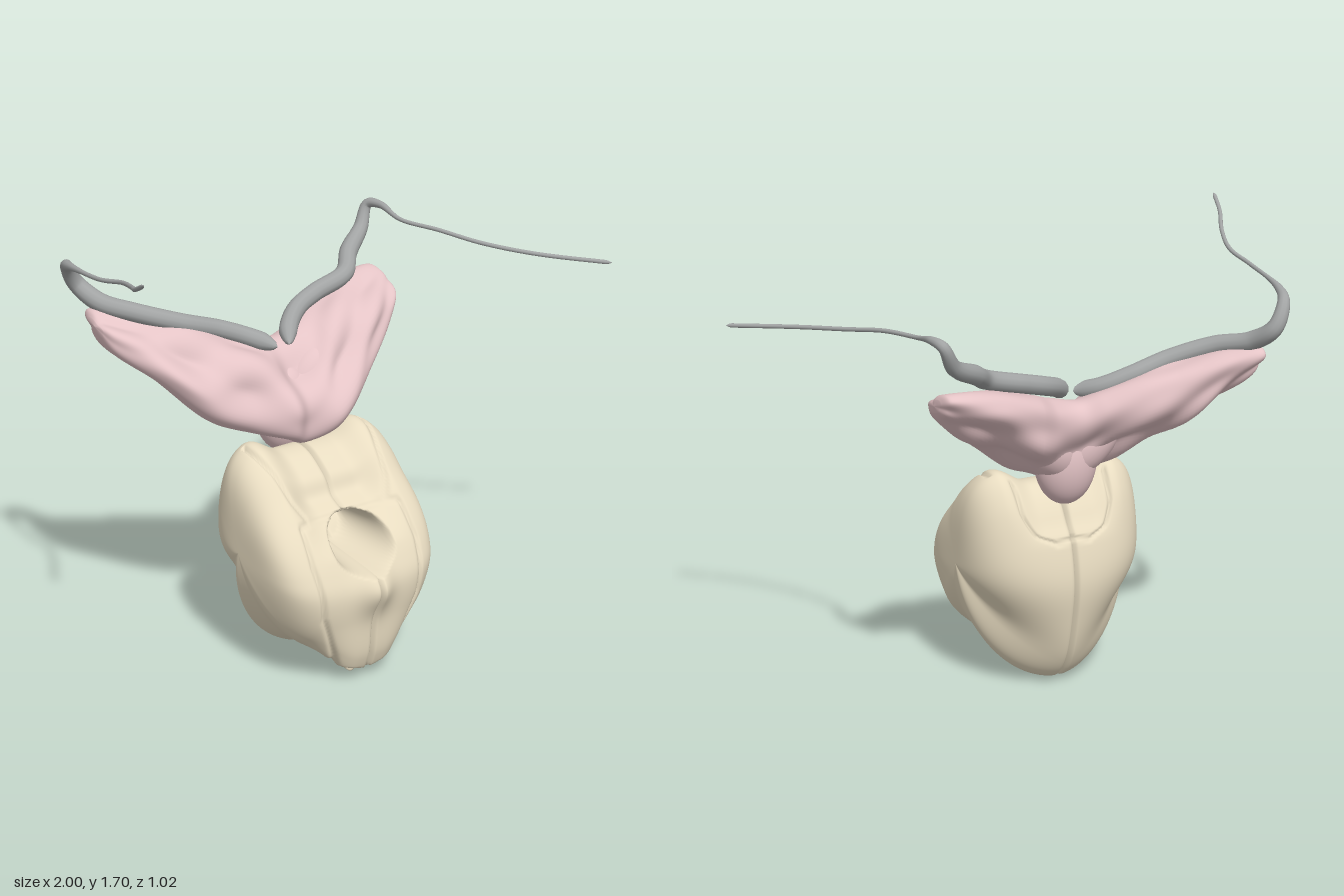
import * as THREE from 'three';

const SHELL = 0xe8dcc1, MEMBRANE = 0xe4c4c6, CORD = 0xa2a4a4;
const smooth = THREE.MathUtils.smoothstep, lerp = THREE.MathUtils.lerp;
const V = (x, y, z) => new THREE.Vector3(x, y, z);

function mesh(name, geometry, color) {
  const m = new THREE.Mesh(geometry, new THREE.MeshStandardMaterial({ color }));
  m.name = name;
  return m;
}

// Skin of nu+1 closed rings with nv points each; faces always turned outward
function loft(nu, nv, fn) {
  const pos = [], idx = [];
  for (let i = 0; i <= nu; i++)
    for (let j = 0; j < nv; j++) pos.push(...fn(i / nu, j / nv));
  for (let i = 0; i < nu; i++)
    for (let j = 0; j < nv; j++) {
      const a = i * nv + j, b = i * nv + (j + 1) % nv;
      idx.push(a, b, a + nv, b, b + nv, a + nv);
    }
  const at = (i) => V(pos[3 * i], pos[3 * i + 1], pos[3 * i + 2]);
  let volume = 0;
  for (let i = 0; i < idx.length; i += 3)
    volume += at(idx[i]).dot(at(idx[i + 1]).cross(at(idx[i + 2])));
  if (volume < 0) idx.reverse();
  const g = new THREE.BufferGeometry();
  g.setAttribute('position', new THREE.Float32BufferAttribute(pos, 3));
  g.setIndex(idx);
  g.computeVertexNormals();
  return g;
}

// Distance from a point to a polyline
function lineDistance(px, py, line) {
  let best = 9;
  for (let i = 0; i + 1 < line.length; i++) {
    const [ax, ay] = line[i], [bx, by] = line[i + 1];
    const dx = bx - ax, dy = by - ay;
    const t = THREE.MathUtils.clamp(((px - ax) * dx + (py - ay) * dy) / (dx * dx + dy * dy), 0, 1);
    best = Math.min(best, Math.hypot(px - ax - t * dx, py - ay - t * dy));
  }
  return best;
}

// Side outlines of the capsule as [z, y]: notched in the middle, plain at the flank
const upper = [
  [0.455, 0.25], [0.46, 0.38], [0.43, 0.46], [0.36, 0.57], [0.25, 0.7],
  [0.15, 0.8], [0.05, 0.86], [-0.03, 0.86], [-0.12, 0.77], [-0.18, 0.62], [-0.215, 0.45],
  [-0.2, 0.3], [-0.15, 0.12], [-0.08, 0.03], [0, 0],
];
const closedCurve = (pts) => new THREE.CatmullRomCurve3(pts.map(([z, y]) => V(0, y, z)), true);
const notched = closedCurve([[0.1, 0.03], [0.2, 0.09], [0.29, 0.12], [0.345, 0.08], [0.4, 0.03], [0.44, 0.1], ...upper]);
const plain = closedCurve([[0.1, 0.02], [0.2, 0.05], [0.28, 0.08], [0.34, 0.105], [0.39, 0.135], [0.43, 0.18], ...upper]);

// Grooves between plates as [distance from the middle, y]
const topGroove = [[0.27, 0.86], [0.23, 0.78], [0.21, 0.7], [0.17, 0.63], [0, 0.62]];
const frontGroove = [[0.17, 0.63], [0.22, 0.62], [0.23, 0.5], [0.21, 0.3], [0.12, 0.06], [0.02, 0.03]];
const backGroove = [[0, 0.62], [0.07, 0.61], [0.14, 0.66], [0.18, 0.74], [0.19, 0.86]];

// One half of the capsule: the outline shrinks toward the flank, squarer in front than behind
function capsuleHalf(side) {
  const NV = 252, C = V(0, 0.48, 0.1), W = 0.352;
  const inner = notched.getPoints(NV), outer = plain.getPoints(NV);
  return loft(72, NV, (u, v) => {
    const n = Math.round(v * NV);
    const q = Math.sin(u * Math.PI / 2), s = q * W;
    const o = inner[n].clone().lerp(outer[n], smooth(q, 0.15, 0.65));
    const power = lerp(1.9, 4.2, smooth(o.y, 0.1, 0.7))
      * lerp(0.72, 1, smooth(o.z, -0.2, 0)) * lerp(1, 1.35, smooth(o.z, 0.2, 0.4));
    let k = Math.pow(Math.max(0, 1 - Math.pow(q, power)), 1 / power);
    k *= 1 - 0.06 * Math.exp(-((s / 0.007) ** 2));
    let y = C.y + (o.y - C.y) * k, z = C.z + (o.z - C.z) * k;
    let d = 1;
    if (z > 0) d = lineDistance(s, y, topGroove);
    if (z > 0.25) d = Math.min(d, lineDistance(s, y, frontGroove));
    if (z < -0.05) d = lineDistance(s, y, backGroove);
    const dent = 1 - 0.04 * Math.exp(-((d / 0.008) ** 2));
    y = C.y + (y - C.y) * dent;
    z = C.z + (z - C.z) * dent;
    // saddle on top, keel in front, round opening
    const hole = Math.hypot(s / 0.125, (y - 0.53) / 0.095);
    const front = smooth(z, 0.2, 0.3);
    const middle = 1 - smooth(s, 0.1, 0.24);
    z -= 0.04 * middle * smooth(z, 0.15, 0.25) * smooth(y, 0.5, 0.62);
    y -= 0.07 * middle * smooth(y, 0.58, 0.76);
    z += front * 0.055 * Math.exp(-((s / 0.07) ** 2) - ((y - 0.39) / 0.09) ** 2);
    z -= front * 0.27 * (1 - smooth(hole, 0.65, 1.06));
    return [side * s, y, z];
  });
}

// Winged membrane, lofted along x: [x, low y, high y, front z, back z]
function membrane() {
  const rows = [
    [-0.745, 1.27, 1.3, -0.31, -0.39], [-0.72, 1.2, 1.33, -0.24, -0.45],
    [-0.6, 1.09, 1.31, -0.1, -0.43], [-0.45, 0.94, 1.27, 0, -0.39],
    [-0.3, 0.87, 1.23, 0.04, -0.35], [-0.17, 0.83, 1.18, 0.1, -0.3],
    [-0.09, 0.79, 1.15, 0.06, -0.27], [0.02, 0.82, 1.17, 0.09, -0.3],
    [0.1, 0.86, 1.21, 0.07, -0.34], [0.25, 0.98, 1.26, -0.01, -0.37],
    [0.4, 1.09, 1.285, -0.11, -0.385], [0.48, 1.17, 1.285, -0.18, -0.37],
    [0.502, 1.21, 1.255, -0.24, -0.31],
  ];
  const low = new THREE.CatmullRomCurve3(rows.map((r) => V(r[0], r[1], r[3])));
  const high = new THREE.CatmullRomCurve3(rows.map((r) => V(r[0], r[2], r[4])));
  return loft(120, 72, (u, v) => {
    const a = v * Math.PI * 2, l = low.getPoint(u), h = high.getPoint(u);
    const pinch = Math.min(1, Math.sqrt(Math.min(u, 1 - u) * 60));
    const face = Math.cos(a - 0.5) ** 2; // folds lie on the broad faces, the rim stays even
    const fold = 1 - face * (0.15 + 0.15 * Math.sin(11 * l.x + 3 * a) + 0.1 * Math.sin(19 * l.x - 5 * a));
    const ry = (h.y - l.y) / 2 * pinch * fold, rz = (l.z - h.z) / 2 * pinch * fold;
    return [l.x, (l.y + h.y) / 2 + ry * Math.sin(a),
      (l.z + h.z) / 2 + rz * (0.87 * Math.cos(a) - 0.5 * Math.sin(a))];
  });
}

// Cord: a tube that thins from a thick root to a thread
function cord(points, bend) {
  const N = 160, R = 12;
  const curve = new THREE.CatmullRomCurve3(points.map((p) => V(...p)));
  const g = new THREE.TubeGeometry(curve, N, 1, R);
  const p = g.attributes.position, q = V(0, 0, 0);
  for (let i = 0; i <= N; i++) {
    const t = i / N, c = curve.getPointAt(t);
    const r = lerp(0.035, 0.008, smooth(t, bend - 0.15, bend + 0.1))
      * Math.sqrt(Math.min(1, t * 30, (1 - t) * 80));
    for (let j = 0; j <= R; j++) {
      const n = i * (R + 1) + j;
      q.fromBufferAttribute(p, n).sub(c).multiplyScalar(r).add(c);
      p.setXYZ(n, q.x, q.y, q.z);
    }
  }
  return g;
}

export function createModel() {
  const model = new THREE.Group();
  model.name = 'model';

  const capsule = new THREE.Group();
  capsule.name = 'capsule';
  capsule.position.x = -0.09;
  capsule.add(mesh('leftShell', capsuleHalf(1), SHELL), mesh('rightShell', capsuleHalf(-1), SHELL));
  model.add(capsule);

  model.add(mesh('wingedMembrane', membrane(), MEMBRANE));

  // Lobes joining the membrane to the capsule: [x, y, z, width, height, depth, lean]
  const neck = new THREE.Group();
  neck.name = 'membraneNeck';
  for (const [x, y, z, w, h, d, lean] of [
    [-0.09, 0.9, -0.11, 0.12, 0.17, 0.1, 0], [-0.18, 0.98, -0.12, 0.1, 0.17, 0.1, 0.7],
    [0, 0.98, -0.12, 0.1, 0.17, 0.1, -0.7],
  ]) {
    const lobe = mesh('neckLobe', new THREE.SphereGeometry(1, 32, 24), MEMBRANE);
    lobe.scale.set(w, h, d);
    lobe.position.set(x, y, z);
    lobe.rotation.z = lean;
    neck.add(lobe);
  }
  model.add(neck);

  model.add(mesh('rightCord', cord([
    [-0.13, 1.15, -0.09], [-0.2, 1.18, -0.17], [-0.3, 1.22, -0.21], [-0.45, 1.27, -0.23],
    [-0.6, 1.32, -0.3], [-0.69, 1.35, -0.4], [-0.74, 1.41, -0.475], [-0.79, 1.49, -0.45],
    [-0.825, 1.52, -0.36], [-0.855, 1.55, -0.1], [-0.85, 1.575, 0.03], [-0.9, 1.61, 0.18],
    [-0.97, 1.655, 0.32], [-1, 1.7, 0.42]], 0.53), CORD));
  model.add(mesh('leftCord', cord([
    [-0.08, 1.15, -0.09], [-0.04, 1.19, -0.15], [0.05, 1.23, -0.22], [0.15, 1.26, -0.25],
    [0.3, 1.3, -0.27], [0.38, 1.35, -0.35], [0.49, 1.41, -0.42], [0.535, 1.49, -0.44],
    [0.55, 1.5, -0.38], [0.545, 1.475, -0.24], [0.6, 1.465, -0.08], [0.68, 1.44, 0.08],
    [0.8, 1.42, 0.25], [1, 1.4, 0.45]], 0.46), CORD));
  return model;
}
